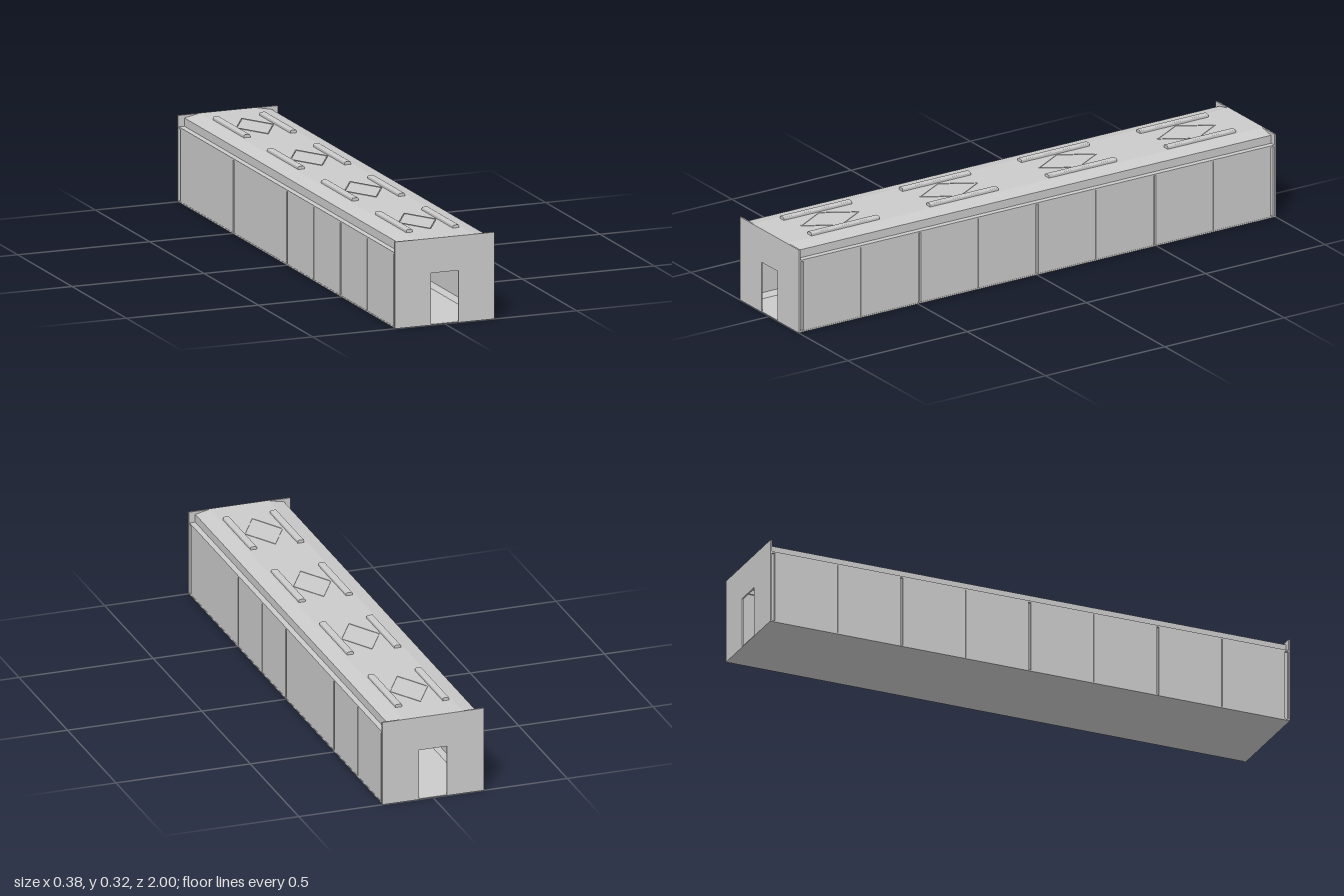
import * as THREE from 'three';

const material = new THREE.MeshStandardMaterial({ color: 0xcccccc, flatShading: true });

export function createModel() {
  const model = new THREE.Group();
  model.name = 'corridorModule';

  const add = (name, geometry, x = 0, y = 0, z = 0) => {
    const mesh = new THREE.Mesh(geometry, material);
    mesh.name = name;
    mesh.position.set(x, y, z);
    model.add(mesh);
    return mesh;
  };
  const box = (name, w, h, d, x, y, z) => add(name, new THREE.BoxGeometry(w, h, d), x, y, z);
  const shapeOf = (points) => new THREE.Shape(points.map(([x, y]) => new THREE.Vector2(x, y)));
  // Extrudes a cross-section along z, centred on z = 0
  const extrudeZ = (shape, depth) =>
    new THREE.ExtrudeGeometry(shape, { depth, bevelEnabled: false, curveSegments: 4 }).translate(0, 0, -depth / 2);
  // Completes a right-hand half profile with its mirror image
  const mirrored = (half) => shapeOf([...half, ...half.map(([x, y]) => [-x, y]).reverse()]);

  // End walls with a doorway
  const endShape = shapeOf([[-0.189, 0], [0.189, 0], [0.189, 0.313], [-0.189, 0.313]]);
  endShape.holes.push(new THREE.Path(
    [[-0.052, 0.003], [-0.052, 0.188], [0.052, 0.188], [0.052, 0.003]].map(([x, y]) => new THREE.Vector2(x, y))));
  for (const s of [-1, 1]) add(s > 0 ? 'frontEndWall' : 'backEndWall', extrudeZ(endShape, 0.006), 0, 0, s * 0.997);

  // Floor slab
  box('floor', 0.366, 0.003, 1.988, 0, 0.0015, 0);

  // Roof shell: flat crown, sloped shoulders, upright edges and a coved ceiling
  add('roof', extrudeZ(mirrored([
    [0.135, 0.3], [0.158, 0.282], [0.158, 0.266], [0.165, 0.266], [0.165, 0.302], [0.11, 0.313],
  ]), 1.988));

  // Roof rail with rounded upper corners
  const railShape = new THREE.Shape();
  railShape.moveTo(-0.012, 0);
  railShape.lineTo(0.012, 0);
  railShape.lineTo(0.012, 0.006);
  railShape.quadraticCurveTo(0.012, 0.011, 0.007, 0.011);
  railShape.lineTo(-0.007, 0.011);
  railShape.quadraticCurveTo(-0.012, 0.011, -0.012, 0.006);
  const railGeometry = extrudeZ(railShape, 0.286);

  const bayCentres = [-0.75, -0.25, 0.25, 0.75];
  for (const z of bayCentres) {
    const railZ = z * 0.996;
    for (const s of [-1, 1]) {
      add('roofRail', railGeometry, s * 0.088, 0.313, railZ);
      // Diamond of thin raised ribs between the rails
      for (const e of [-1, 1]) {
        const rib = box('roofRib', 0.004, 0.002, Math.hypot(0.07, 0.12), s * 0.035, 0.3138, railZ + e * 0.06);
        rib.rotation.y = -s * e * Math.atan2(0.07, 0.12);
      }
    }
  }

  for (const s of [-1, 1]) {
    // Inner wall behind the panels, with a ledge along its top
    box('innerWall', 0.014, 0.267, 1.988, s * 0.17, 0.1355, 0);
    box('wallLedge', 0.022, 0.006, 1.988, s * 0.175, 0.269, 0);
    // Sloped skirting inside
    const skirting = shapeOf([[0.148, 0.003], [0.164, 0.003], [0.164, 0.02]]);
    add('skirting', extrudeZ(skirting, 1.988)).rotation.y = s > 0 ? 0 : Math.PI;
    // Bottom sill
    box('sill', 0.01, 0.005, 1.988, s * 0.182, 0.0025, 0);

    // Outer panels in pairs: narrow seam inside a bay, wider groove between bays
    for (const z of bayCentres)
      for (const e of [-1, 1])
        box('wallPanel', 0.009, 0.261, 0.2405, s * 0.1815, 0.1355, z * 0.985 + e * 0.1213);
  }

  return model;
}
